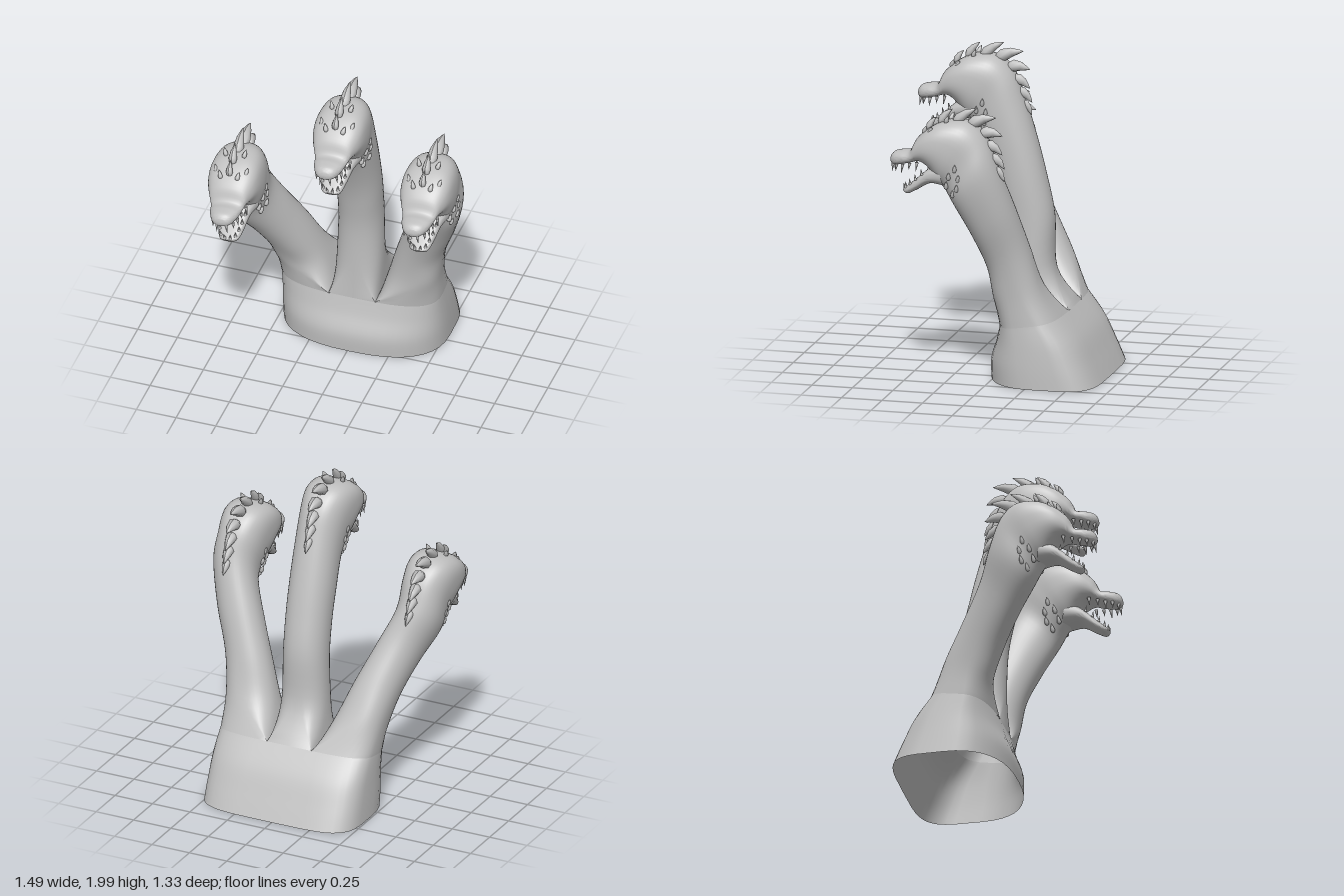
import * as THREE from 'three';
import { toCreasedNormals } from 'three/addons/utils/BufferGeometryUtils.js';

const hide = new THREE.MeshStandardMaterial({ color: 0xc0c0c0, side: THREE.DoubleSide });
hide.name = 'grey hide';

const SEG = 40, STEPS = 5;
const spow = (v, p) => Math.sign(v) * Math.abs(v) ** (2 / p);

// Ring of points from [backZ, backY, frontZ, frontY, halfWidth, centreX, backPower, frontPower],
// optionally cut off at two x limits
function ring([bz, by, fz, fy, hw, cx, pb, pf], xMin = -9, xMax = 9) {
  const pts = [];
  for (let j = 0; j < SEG; j++) {
    const a = (j / SEG) * Math.PI * 2, p = Math.cos(a) > 0 ? pb : pf;
    const c = spow(Math.cos(a), p), s = spow(Math.sin(a), p);
    pts.push(THREE.MathUtils.clamp(cx + hw * s, xMin, xMax),
      (by + fy) / 2 + c * (by - fy) / 2, (bz + fz) / 2 + c * (bz - fz) / 2);
  }
  return pts;
}

// Catmull-Rom blend of whole rings
function blend(rings, i, t) {
  const at = k => rings[Math.min(Math.max(k, 0), rings.length - 1)];
  const [a, b, c, d] = [at(i - 1), at(i), at(i + 1), at(i + 2)];
  return b.map((_, k) => b[k] + 0.5 * t * (c[k] - a[k]
    + t * (2 * a[k] - 5 * b[k] + 4 * c[k] - d[k] + t * (3 * (b[k] - c[k]) + d[k] - a[k]))));
}

// Smooth skin through rings, with the far end closed on request
function loft(name, rings, closed) {
  const pos = [], index = [], count = (rings.length - 1) * STEPS;
  for (let r = 0; r < count; r++) pos.push(...blend(rings, Math.floor(r / STEPS), (r % STEPS) / STEPS));
  pos.push(...rings.at(-1));
  for (let r = 0; r < count; r++)
    for (let j = 0; j < SEG; j++) {
      const a = r * SEG + j, b = r * SEG + (j + 1) % SEG;
      index.push(a, a + SEG, b, b, a + SEG, b + SEG);
    }
  if (closed) {
    const end = rings.at(-1), last = count * SEG, h = SEG / 2 * 3;
    for (let k = 0; k < 3; k++) pos.push((end[k] + end[h + k]) / 2);
    for (let j = 0; j < SEG; j++) index.push(last + j, last + SEG, last + (j + 1) % SEG);
  }
  const g = new THREE.BufferGeometry();
  g.setAttribute('position', new THREE.Float32BufferAttribute(pos, 3));
  g.setIndex(index);
  const mesh = new THREE.Mesh(toCreasedNormals(g, 0.9), hide);
  mesh.name = name;
  return mesh;
}

// Unit teardrop used for scales and spines, unit cone for teeth
const drop = new THREE.LatheGeometry(
  [[0, -0.05], [0.75, 0.05], [1, 0.25], [0.7, 0.6], [0.3, 0.86], [0, 1]].map(p => new THREE.Vector2(...p)), 8);
const tooth = new THREE.ConeGeometry(1, 1, 8).translate(0, 0.5, 0);
const spineShape = drop.clone();
const sp = spineShape.attributes.position;
for (let i = 0; i < sp.count; i++) sp.setZ(i, sp.getZ(i) + 0.4 * Math.sin(Math.PI * Math.max(0, sp.getY(i))));
spineShape.computeVertexNormals();

function spike(parent, name, geo, base, dir, len, w, d = w) {
  const m = new THREE.Mesh(geo, hide);
  m.name = name;
  m.position.set(...base);
  m.quaternion.setFromUnitVectors(new THREE.Vector3(0, 1, 0), new THREE.Vector3(...dir).normalize());
  m.scale.set(w, len, d);
  parent.add(m);
}

// Shoulders from the floor up; the last section is shared by the three neck roots
const shoulders = [
  [-0.66, 0, 0.045, 0, 0.511, 0.018, 4.5, 2.5],
  [-0.605, 0.12, 0.045, 0.12, 0.51, 0.018, 4.5, 2.5],
  [-0.53, 0.27, 0.0, 0.24, 0.507, 0.016, 4.2, 2.8],
  [-0.425, 0.405, -0.03, 0.345, 0.503, 0.012, 4, 3],
];

// Head sections from the nape over the crown to the nose
const skull = [
  [-0.10, 1.38, 0.16, 1.13, 0.136, 0, 2.2, 2.2],
  [-0.03, 1.55, 0.22, 1.23, 0.143, 0, 2.4, 2.2],
  [0.07, 1.637, 0.26, 1.27, 0.155, 0, 2.8, 2.2],
  [0.20, 1.64, 0.30, 1.33, 0.157, 0, 2.9, 2.2],
  [0.30, 1.60, 0.34, 1.37, 0.146, 0, 2.7, 2.3],
  [0.385, 1.53, 0.38, 1.385, 0.12, 0, 2.3, 2.6],
  [0.425, 1.455, 0.42, 1.375, 0.1, 0, 2.1, 2.8],
  [0.48, 1.445, 0.48, 1.36, 0.087, 0, 2.1, 2.8],
  [0.525, 1.435, 0.525, 1.352, 0.066, 0, 2.1, 2.5],
  [0.548, 1.415, 0.548, 1.36, 0.042, 0, 2, 2],
  [0.555, 1.395, 0.555, 1.375, 0.016, 0, 2, 2],
];
const jaw = [
  [0.24, 1.39, 0.20, 1.24, 0.12, 0, 2.5, 2.3],
  [0.32, 1.34, 0.30, 1.255, 0.10, 0, 3, 2.3],
  [0.40, 1.27, 0.385, 1.21, 0.08, 0, 3, 2.3],
  [0.455, 1.225, 0.44, 1.182, 0.06, 0, 2.6, 2.3],
  [0.475, 1.207, 0.465, 1.19, 0.03, 0, 2, 2],
];

// Head placement, the x limits of each neck root, and the neck sections above it
const heads = [
  { name: 'left', at: [0.585, 0, 0], roll: 0.05, cut: [0.15, 9], neck: [
    [-0.32, 0.60, -0.03, 0.52, 0.16, 0.365, 2.5, 2.5],
    [-0.25, 0.85, 0.00, 0.72, 0.145, 0.42, 2.2, 2.2],
    [-0.18, 1.12, 0.07, 0.93, 0.143, 0.51, 2.2, 2.2]] },
  { name: 'middle', at: [0.025, 0.275, -0.02], roll: 0.04, cut: [-0.145, 0.15], neck: [
    [-0.31, 0.62, -0.03, 0.55, 0.142, 0.015, 2.5, 2.5],
    [-0.30, 0.95, -0.02, 0.85, 0.135, 0.02, 2.2, 2.2],
    [-0.25, 1.20, 0.02, 1.07, 0.135, 0.025, 2.2, 2.2],
    [-0.19, 1.43, 0.07, 1.24, 0.136, 0.025, 2.2, 2.2]] },
  { name: 'right', at: [-0.58, -0.13, 0.11], roll: 0.1, cut: [-9, -0.145], neck: [
    [-0.32, 0.60, -0.03, 0.50, 0.152, -0.36, 2.5, 2.5],
    [-0.20, 0.83, 0.04, 0.66, 0.138, -0.42, 2.2, 2.2],
    [-0.07, 1.06, 0.15, 0.84, 0.13, -0.50, 2.2, 2.2]] },
];

// Spines along the midline: base z, y, tip z, y, half width
const spines = [
  [0.33, 1.575, 0.28, 1.655, 0.022], [0.26, 1.615, 0.18, 1.71, 0.027],
  [0.17, 1.62, 0.03, 1.72, 0.034], [0.08, 1.615, -0.09, 1.67, 0.04],
  [0.01, 1.57, -0.13, 1.56, 0.04], [-0.02, 1.51, -0.13, 1.445, 0.036],
  [-0.05, 1.44, -0.145, 1.36, 0.033], [-0.075, 1.37, -0.145, 1.285, 0.028],
];
const browScales = [[0.055, 1.63, 0.21], [0.09, 1.565, 0.30], [0.05, 1.56, 0.345]];
const cheekScales = [[0.132, 1.35, 0.13], [0.122, 1.30, 0.17], [0.127, 1.29, 0.11],
  [0.122, 1.23, 0.12], [0.1, 1.24, 0.19], [0.095, 1.19, 0.15]];
const upperTeeth = [[0.1, 1.39, 0.37], [0.085, 1.38, 0.42], [0.076, 1.37, 0.465],
  [0.062, 1.365, 0.505], [0.028, 1.365, 0.535]];
const lowerTeeth = [[0.08, 1.31, 0.345], [0.071, 1.275, 0.385], [0.06, 1.245, 0.42],
  [0.045, 1.22, 0.45], [0.016, 1.208, 0.465]];

function headDetails() {
  const g = new THREE.Group();
  g.add(loft('lowerJaw', jaw.map(s => ring(s)), true));
  for (const [bz, by, tz, ty, w] of spines)
    spike(g, 'spine', spineShape, [0, by, bz], [0, ty - by, tz - bz], Math.hypot(tz - bz, ty - by), w, w * 0.95);
  for (const s of [1, -1]) {
    for (const [x, y, z] of browScales) spike(g, 'browScale', drop, [s * x, y, z], [s * 0.25, 0.8, -0.35], 0.055, 0.015);
    for (const [x, y, z] of cheekScales) spike(g, 'cheekScale', drop, [s * x, y, z], [s * 0.45, 1, -0.15], 0.055, 0.014);
    upperTeeth.forEach(([x, y, z], i) =>
      spike(g, 'upperTooth', tooth, [s * x, y, z], [s * 0.1, -1, 0.1], i % 2 ? 0.045 : 0.058, 0.011));
    for (const [x, y, z] of lowerTeeth) spike(g, 'lowerTooth', tooth, [s * x, y, z], [s * 0.15, 1, 0.15], 0.038, 0.01);
    // heavy slanted brow
    const brow = new THREE.Mesh(new THREE.SphereGeometry(1, 14, 10), hide);
    brow.name = 'brow';
    brow.position.set(s * 0.082, 1.5, 0.365);
    brow.scale.set(0.042, 0.011, 0.022);
    brow.rotation.set(0, s * 0.6, s * 0.5);
    g.add(brow);
  }
  return g;
}

export function createModel() {
  const model = new THREE.Group();
  model.name = 'threeHeadedSerpent';

  // Open-bottomed shoulders
  model.add(loft('shoulders', shoulders.map(s => ring(s)), false));

  for (const { name, at, roll, cut, neck } of heads) {
    // heads roll slightly about the throat
    const place = new THREE.Matrix4().makeTranslation(at[0], at[1] + 1.3, at[2])
      .multiply(new THREE.Matrix4().makeRotationZ(roll))
      .multiply(new THREE.Matrix4().makeTranslation(0, -1.3, 0));
    const headRings = skull.map(s => Array.from(
      new THREE.Float32BufferAttribute(ring(s), 3).applyMatrix4(place).array));
    model.add(loft(name + 'NeckAndHead',
      [ring(shoulders.at(-1), ...cut), ...neck.map(s => ring(s)), ...headRings], true));
    const details = headDetails();
    details.name = name + 'HeadDetails';
    details.applyMatrix4(place);
    model.add(details);
  }
  return model;
}
